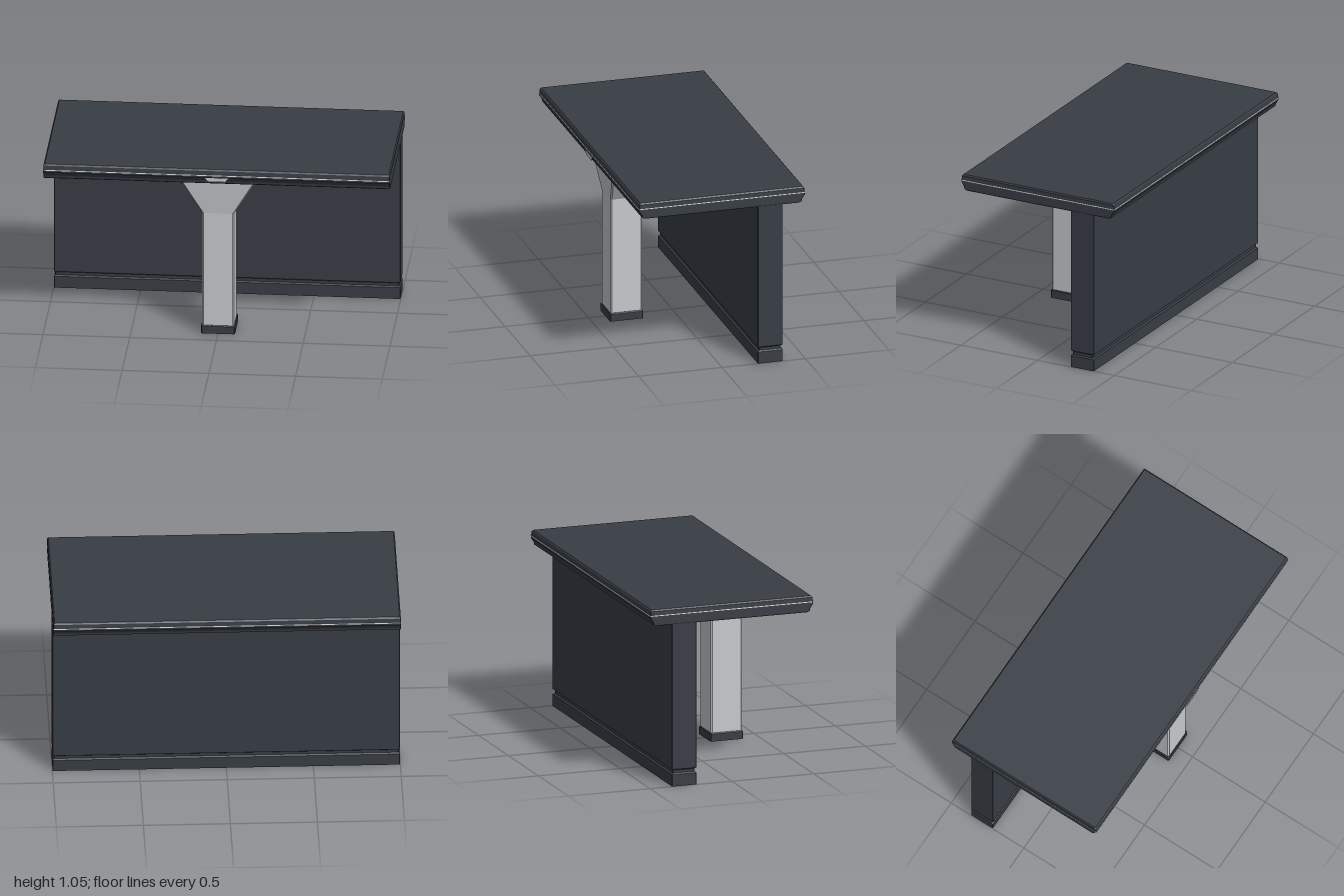
import * as THREE from 'three';

const dark = new THREE.MeshStandardMaterial({ color: 0x383d45 });
dark.name = 'charcoal laminate';
const light = new THREE.MeshStandardMaterial({ color: 0xc6cbce });
light.name = 'brushed metal';
const white = new THREE.MeshStandardMaterial({ color: 0xf4f5f5 });
white.name = 'white inlay';

// Rectangle with chamfered corners, as a ring around the y axis
function ring([y, hx, hz, c]) {
  return [
    [hx, -hz + c], [hx, hz - c], [hx - c, hz], [-hx + c, hz],
    [-hx, hz - c], [-hx, -hz + c], [-hx + c, -hz], [hx - c, -hz],
  ].map(([x, z]) => [x, y, z]);
}

// Closed flat-shaded loft through sections [y, half width, half depth, chamfer]
function loft(sections) {
  const rings = sections.map(ring);
  const pos = [];
  const tri = (a, b, c) => pos.push(...a, ...b, ...c);
  for (let s = 0; s + 1 < rings.length; s++) {
    for (let i = 0; i < 8; i++) {
      const j = (i + 1) % 8;
      const [lo, up] = [rings[s], rings[s + 1]];
      tri(lo[i], up[i], up[j]);
      tri(lo[i], up[j], lo[j]);
    }
  }
  const bottom = rings[0];
  const top = rings[rings.length - 1];
  for (let i = 1; i < 7; i++) {
    tri(bottom[0], bottom[i], bottom[i + 1]);
    tri(top[0], top[i + 1], top[i]);
  }
  const geo = new THREE.BufferGeometry();
  geo.setAttribute('position', new THREE.Float32BufferAttribute(pos, 3));
  geo.computeVertexNormals();
  return geo;
}

export function createModel() {
  const model = new THREE.Group();
  model.name = 'desk';
  const add = (name, geo, mat, z = 0) => {
    const mesh = new THREE.Mesh(geo, mat);
    mesh.name = name;
    mesh.position.z = z;
    model.add(mesh);
  };

  // Top slab: undercut along the long edges, softened upper rim
  add('tableTop', loft([
    [0.96, 0.996, 0.466, 0.003],
    [0.967, 0.999, 0.478, 0.003],
    [0.982, 0.999, 0.481, 0.003],
    [1.008, 0.999, 0.498, 0.003],
    [1.022, 0.999, 0.497, 0.003],
    [1.047, 0.998, 0.494, 0.003],
    [1.055, 0.991, 0.487, 0.003],
  ]), dark);
  add('edgeInlay', loft([
    [1.0175, 1, 0.499, 0.003],
    [1.0225, 1, 0.499, 0.003],
  ]), white);

  // Small trapezoid badge under the front lip
  const badge = new THREE.Shape([
    new THREE.Vector2(-0.05, 0.983), new THREE.Vector2(0.05, 0.983),
    new THREE.Vector2(0.07, 1.006), new THREE.Vector2(-0.07, 1.006),
  ]);
  add('badgeBase', new THREE.ExtrudeGeometry(badge, { depth: 0.02, bevelEnabled: false }), dark, 0.478);
  add('badgeFace', new THREE.ExtrudeGeometry(badge, { depth: 0.002, bevelEnabled: false }), light, 0.498);

  // Full-width rear panel on a plinth, with a shadow groove between them
  add('rearPanel', loft([
    [0, 0.998, 0.075, 0.003],
    [0.07, 0.998, 0.075, 0.003],
    [0.077, 0.99, 0.065, 0.003],
    [0.094, 0.99, 0.065, 0.003],
    [0.101, 0.998, 0.075, 0.003],
    [0.962, 0.998, 0.075, 0.003],
  ]), dark, -0.29);

  // Front pedestal flaring out to carry the top
  add('pedestalFoot', loft([
    [0, 0.098, 0.1, 0.006],
    [0.045, 0.098, 0.1, 0.006],
    [0.05, 0.094, 0.096, 0.006],
  ]), dark, 0.3);
  add('pedestal', loft([
    [0.048, 0.092, 0.095, 0.008],
    [0.745, 0.092, 0.095, 0.008],
    [0.937, 0.207, 0.117, 0.008],
    [0.962, 0.217, 0.12, 0.008],
  ]), light, 0.3);

  return model;
}
